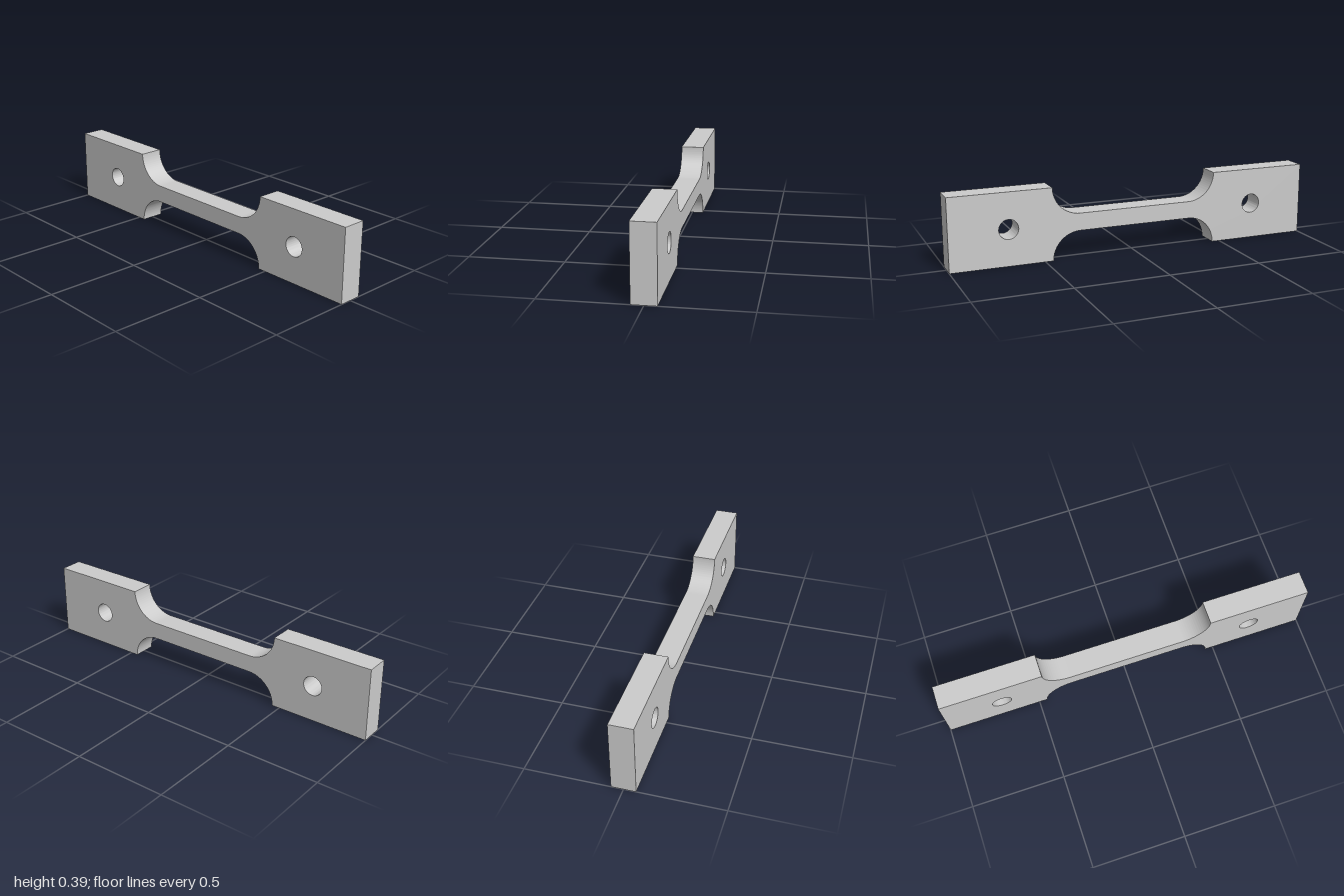
import * as THREE from 'three';
import { toCreasedNormals } from 'three/addons/utils/BufferGeometryUtils.js';

const HEIGHT = 0.388, DEPTH = 0.124;
const FILLET = 0.148, FILLET_X = 0.309; // shoulder radius and its centre
const HOLE_X = 0.69, HOLE_R = 0.052;

export function createModel() {
  const group = new THREE.Group();
  group.name = 'tensileTestBar';

  // Dog-bone outline: wide grips, quarter-round shoulders, narrow neck
  const q = Math.PI / 2;
  const outline = new THREE.Shape();
  outline.moveTo(-1, HEIGHT);
  outline.lineTo(-1, 0);
  outline.lineTo(-FILLET_X - FILLET, 0);
  outline.absarc(-FILLET_X, 0, FILLET, 2 * q, q, true);
  outline.absarc(FILLET_X, 0, FILLET, q, 0, true);
  outline.lineTo(1, 0);
  outline.lineTo(1, HEIGHT);
  outline.absarc(FILLET_X, HEIGHT, FILLET, 0, -q, true);
  outline.absarc(-FILLET_X, HEIGHT, FILLET, -q, -2 * q, true);
  outline.closePath();

  // One pin hole through each grip
  for (const side of [-1, 1]) {
    const hole = new THREE.Path();
    hole.absarc(side * HOLE_X, HEIGHT / 2, HOLE_R, 0, 4 * q, true);
    outline.holes.push(hole);
  }

  const geometry = new THREE.ExtrudeGeometry(outline, {
    depth: DEPTH, bevelEnabled: false, curveSegments: 32,
  });
  geometry.translate(0, 0, -DEPTH / 2);

  const bar = new THREE.Mesh(
    toCreasedNormals(geometry, Math.PI / 6),
    new THREE.MeshStandardMaterial({ color: 0xcccccc }),
  );
  bar.name = 'bar';
  group.add(bar);
  return group;
}
